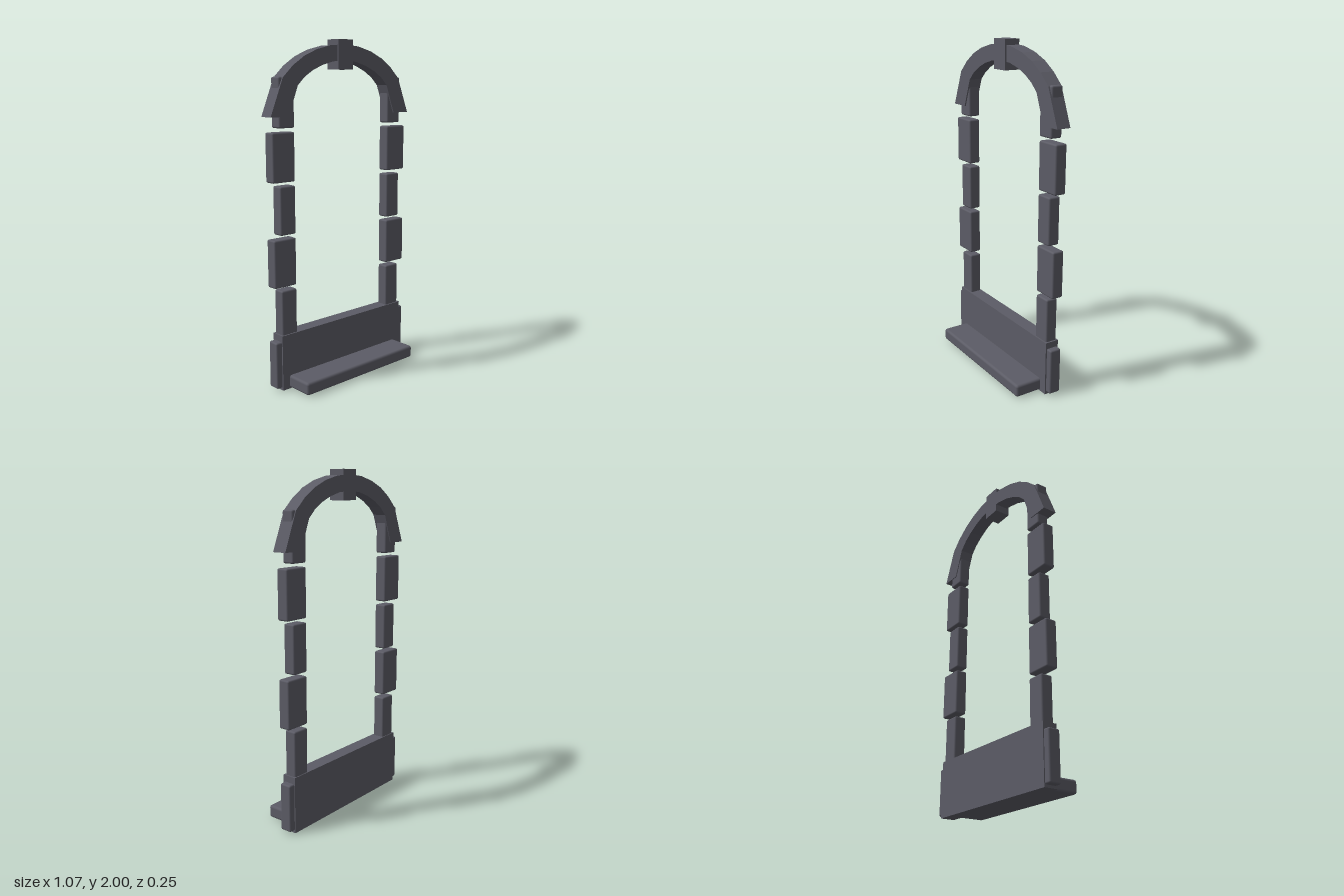
import * as THREE from 'three';
import { RoundedBoxGeometry } from 'three/addons/geometries/RoundedBoxGeometry.js';

export function createModel() {
  const group = new THREE.Group();
  group.name = 'stoneDoorway';
  const stone = new THREE.MeshStandardMaterial({ color: 0x5c5c66 });

  const add = (name, geometry) => {
    const mesh = new THREE.Mesh(geometry, stone);
    mesh.name = name;
    group.add(mesh);
    return mesh;
  };
  // Box from its limits; a radius above zero rounds the edges
  const block = (name, [x0, x1], [y0, y1], [z0, z1], radius = 0) => {
    const size = [x1 - x0, y1 - y0, z1 - z0];
    const geometry = radius
      ? new RoundedBoxGeometry(...size, 2, radius)
      : new THREE.BoxGeometry(...size);
    add(name, geometry).position.set((x0 + x1) / 2, (y0 + y1) / 2, (z0 + z1) / 2);
  };

  // Side columns of alternating wide and narrow stones
  for (const side of [1, -1]) {
    for (let i = 0; i < 6; i++) {
      const outer = i % 2 === 0 ? 0.52 : 0.473;
      const x = side > 0 ? [0.367, outer] : [-outer, -0.367];
      const y = 0.015 + i * 0.299;
      block((side > 0 ? 'left' : 'right') + 'ColumnStone' + (i + 1), x, [y, y + 0.277], [-0.12, -0.048], 0.01);
    }
  }

  // Base slab and projecting step
  block('baseSlab', [-0.483, 0.483], [0, 0.33], [-0.125, -0.04]);
  block('step', [-0.435, 0.435], [0.005, 0.08], [-0.08, 0.125], 0.015);

  // Faceted arch with splayed feet, one half mirrored into a closed outline
  const outer = [[0, 1.972], [0.11, 1.963], [0.21, 1.938], [0.3, 1.9], [0.38, 1.848], [0.45, 1.783], [0.536, 1.572]];
  const inner = [[0, 1.882], [0.09, 1.874], [0.17, 1.853], [0.24, 1.823], [0.3, 1.786], [0.348, 1.74], [0.413, 1.572]];
  const wholeCurve = (half) => [
    ...half.slice(1).reverse().map(([x, y]) => new THREE.Vector2(-x, y)),
    ...half.map(([x, y]) => new THREE.Vector2(x, y)),
  ];
  const outline = new THREE.Shape([...wholeCurve(outer), ...wholeCurve(inner).reverse()]);
  const arch = new THREE.ExtrudeGeometry(outline, { depth: 0.085, bevelEnabled: false });
  add('arch', arch).position.z = -0.125;

  // Keystone at the crown
  block('keystone', [-0.057, 0.057], [1.83, 2], [-0.125, -0.03]);

  return group;
}
